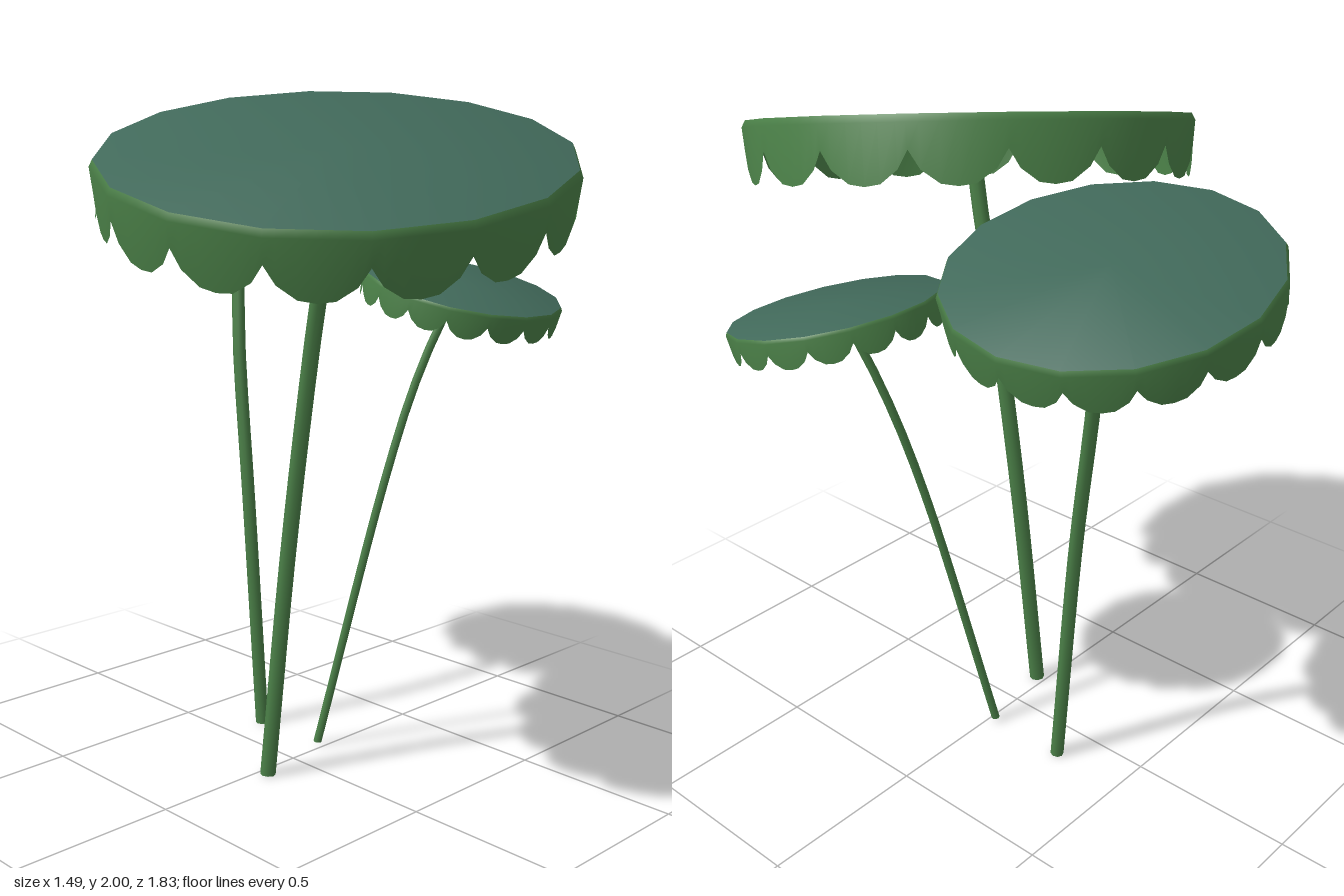
import * as THREE from 'three';

const SIDES = 16;
// One tongue of the fringe: position along a side, depth below the rim (unit radius)
const TONGUE = [[0, 0.135], [0.12, 0.21], [0.32, 0.265], [0.5, 0.275], [0.68, 0.265], [0.88, 0.21]];

// Shallow disc whose normals lean outwards towards the rim
function capTopGeometry() {
  const g = new THREE.LatheGeometry([new THREE.Vector2(0.985, 0), new THREE.Vector2(0, 0.02)], SIDES);
  const p = g.attributes.position, n = g.attributes.normal, v = new THREE.Vector3();
  for (let i = 0; i < p.count; i++) {
    v.set(p.getX(i) * 0.31, 1, p.getZ(i) * 0.31).normalize();
    n.setXYZ(i, v.x, v.y, v.z);
  }
  return g;
}

// Rounded lip and hanging tongues, one tongue per side
function fringeGeometry() {
  const pos = [], nor = [], idx = [];
  const cols = SIDES * TONGUE.length;
  for (let s = 0; s < SIDES; s++) {
    const a = (s / SIDES) * Math.PI * 2, b = ((s + 1) / SIDES) * Math.PI * 2;
    for (const [t, depth] of TONGUE) {
      const x = THREE.MathUtils.lerp(Math.cos(a), Math.cos(b), t);
      const z = THREE.MathUtils.lerp(Math.sin(a), Math.sin(b), t);
      const len = Math.hypot(x, z);
      for (const [r, y, up] of [[0.985, 0, 0.6], [1, -0.03, 0.1], [0.99, -depth, 0]]) {
        pos.push(x * r, y, z * r);
        const m = Math.hypot(1, up);
        nor.push(x / len / m, up / m, z / len / m);
      }
    }
  }
  for (let c = 0; c < cols; c++) {
    const i = c * 3, j = ((c + 1) % cols) * 3;
    for (let r = 0; r < 2; r++) idx.push(i + r, j + r, j + r + 1, i + r, j + r + 1, i + r + 1);
  }
  const g = new THREE.BufferGeometry();
  g.setAttribute('position', new THREE.Float32BufferAttribute(pos, 3));
  g.setAttribute('normal', new THREE.Float32BufferAttribute(nor, 3));
  g.setIndex(idx);
  return g;
}

export function createModel() {
  const teal = new THREE.MeshStandardMaterial({ color: 0x41695a, side: THREE.DoubleSide });
  teal.name = 'capTeal';
  const green = new THREE.MeshStandardMaterial({ color: 0x4a7f47, side: THREE.DoubleSide });
  green.name = 'stemGreen';

  const topGeo = capTopGeometry(), fringeGeo = fringeGeometry();
  const model = new THREE.Group();
  model.name = 'parasolPlants';

  // slope: rise of the cap along x and along z; phase: turn of its corners in degrees
  const plants = [
    { name: 'large', radius: 0.64, centre: [-0.128, 1.823, 0.293], slope: [0.2, -0.2], phase: 15.5, thick: 0.023,
      stem: [[-0.133, 0, 0.03], [-0.095, 0.7, 0.08], [-0.092, 1.29, 0.17], [-0.11, 1.57, 0.24], [-0.125, 1.82, 0.293]] },
    { name: 'medium', radius: 0.433, centre: [0.205, 1.655, -0.487], slope: [-0.235, 0.035], phase: 0, thick: 0.02,
      stem: [[0.12, 0, -0.27], [0.112, 0.75, -0.32], [0.14, 1.2, -0.39], [0.18, 1.45, -0.44], [0.205, 1.655, -0.487]] },
    { name: 'small', radius: 0.3, centre: [0.452, 1.433, 0.25], slope: [-0.02, -0.245], phase: 11.25, thick: 0.0125,
      stem: [[0.125, 0.01, -0.02], [0.28, 0.82, 0.1], [0.36, 1.13, 0.15], [0.42, 1.34, 0.21], [0.452, 1.433, 0.25]] },
  ];

  for (const { name, radius, centre, slope, phase, thick, stem } of plants) {
    const plant = new THREE.Group();
    plant.name = name + 'Plant';

    // tilted cap
    const cap = new THREE.Group();
    cap.name = name + 'Cap';
    const up = new THREE.Vector3(-slope[0], 1, -slope[1]).normalize();
    cap.quaternion.setFromUnitVectors(new THREE.Vector3(0, 1, 0), up);
    cap.position.set(...centre);
    cap.scale.setScalar(radius);
    for (const [part, geo, mat] of [['CapTop', topGeo, teal], ['Fringe', fringeGeo, green]]) {
      const mesh = new THREE.Mesh(geo, mat);
      mesh.name = name + part;
      mesh.rotation.y = -THREE.MathUtils.degToRad(phase);
      cap.add(mesh);
    }

    // bent stem with a closed foot
    const curve = new THREE.CatmullRomCurve3(stem.map((p) => new THREE.Vector3(...p)));
    const stalk = new THREE.Mesh(new THREE.TubeGeometry(curve, 14, thick, 8), green);
    stalk.name = name + 'Stem';
    const foot = new THREE.Mesh(new THREE.CircleGeometry(thick, 8), green);
    foot.name = name + 'StemFoot';
    foot.rotation.x = Math.PI / 2;
    foot.position.set(...stem[0]);

    plant.add(cap, stalk, foot);
    model.add(plant);
  }
  return model;
}
